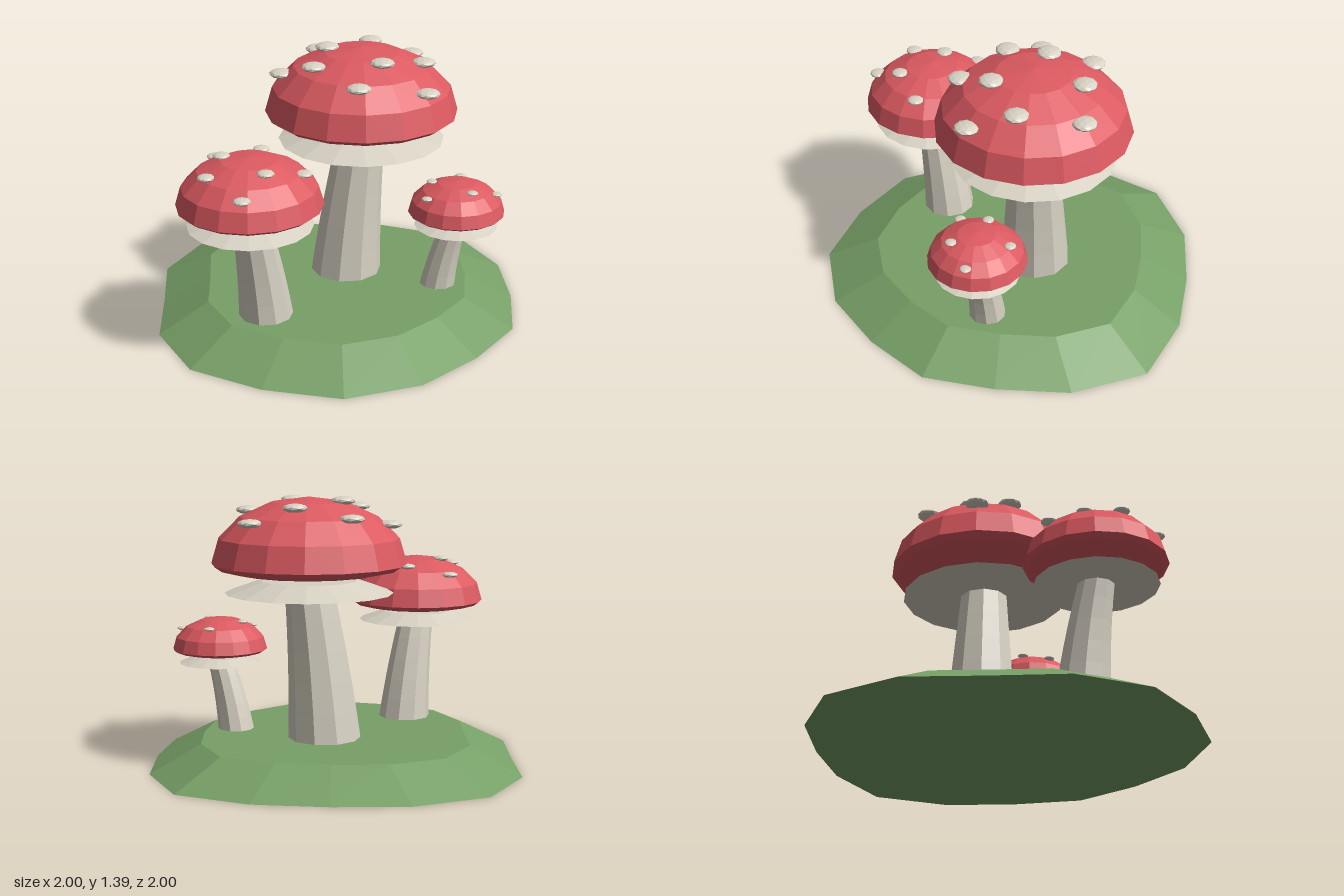
import * as THREE from 'three';

const flat = (name, color) => {
  const m = new THREE.MeshStandardMaterial({ color, flatShading: true });
  m.name = name;
  return m;
};

const addMesh = (parent, name, geometry, material) => {
  const mesh = new THREE.Mesh(geometry, material);
  mesh.name = name;
  parent.add(mesh);
  return mesh;
};

// Move every vertex of a geometry by a rule
function reshape(geometry, rule) {
  const p = geometry.attributes.position;
  const v = new THREE.Vector3();
  for (let i = 0; i < p.count; i++) {
    rule(v.fromBufferAttribute(p, i));
    p.setXYZ(i, v.x, v.y, v.z);
  }
  geometry.computeVertexNormals();
  return geometry;
}

const GROUND_TOP = 0.135;

// Irregular low mound: one radius factor per corner, counted from +x towards +z
function moundGeometry() {
  const radii = [1, 0.94, 0.97, 0.95, 1, 1.04, 1.02, 1.05, 1, 0.93, 1.025, 1.07, 1, 0.94, 0.98, 1.06];
  const g = new THREE.CylinderGeometry(0.73, 1, GROUND_TOP, 16, 1);
  g.translate(0, GROUND_TOP / 2, 0);
  return reshape(g, (v) => {
    const k = Math.round(Math.atan2(v.z, v.x) / (Math.PI / 8));
    const f = radii[(k + 16) % 16];
    v.x *= f;
    v.z *= f;
  });
}

// Tapered stem whose centre line bends from base to top
function stemGeometry({ base, baseRadius, topRadius, x, z, height }) {
  const g = new THREE.CylinderGeometry(topRadius, baseRadius, 1, 10, 5);
  return reshape(g, (v) => {
    const t = v.y + 0.5;
    const bend = 0.6 * t + 0.4 * t * t;
    v.x += base[0] + (x - base[0]) * bend;
    v.z += base[1] + (z - base[1]) * bend;
    v.y = GROUND_TOP - 0.01 + t * (height - GROUND_TOP + 0.01);
  });
}

function mushroom(name, spec, mats) {
  const { x, z, rim, radius: R, spots, spotRadius } = spec;
  const group = new THREE.Group();
  group.name = name;

  // Gills: shallow skirt below the cap
  const gillBottom = rim - 0.3 * R;
  const gillHeight = 0.13 * R;
  const gills = addMesh(group, 'gills',
    new THREE.CylinderGeometry(0.5 * R, 0.865 * R, gillHeight, 16), mats.cream);
  gills.position.set(x, gillBottom + gillHeight / 2, z);

  addMesh(group, 'stem', stemGeometry({ ...spec, height: gillBottom + 0.02 }), mats.cream);

  // Cap: tall dome above the rim, nearly flat underside
  const capGeometry = reshape(new THREE.SphereGeometry(R, 16, 8), (v) => {
    v.y *= v.y > 0 ? 0.68 : 0.14;
  });
  addMesh(group, 'cap', capGeometry, mats.red).position.set(x, rim, z);

  // Spots: flattened pebbles resting on the dome
  const spotGeometry = new THREE.IcosahedronGeometry(spotRadius, 1).scale(1, 0.36, 1);
  for (const [sx, sz] of spots) {
    const d = Math.hypot(sx - x, sz - z) / R;
    const y = rim + 0.68 * R * Math.sqrt(Math.max(0, 1 - d * d)) + 0.016 * R;
    addMesh(group, 'spot', spotGeometry, mats.cream).position.set(sx, y, sz);
  }
  return group;
}

export function createModel() {
  const mats = {
    red: flat('cap red', 0xdc5a61),
    cream: flat('cream', 0xd8d2c4),
    green: flat('grass green', 0x77a067),
  };
  const model = new THREE.Group();
  model.name = 'mushroomCluster';
  addMesh(model, 'ground', moundGeometry(), mats.green);

  model.add(
    mushroom('largeMushroom', {
      x: 0.16, z: -0.05, rim: 1.04, radius: 0.5,
      base: [0.09, -0.085], baseRadius: 0.188, topRadius: 0.125, spotRadius: 0.063,
      spots: [[0.06, -0.39], [0.31, -0.26], [0.52, -0.19], [0.02, -0.17], [-0.22, -0.21],
        [-0.13, 0], [0.43, 0.12], [0.17, 0.17], [-0.01, 0.28], [0.34, 0.34]],
    }, mats),
    mushroom('mediumMushroom', {
      x: -0.595, z: 0.29, rim: 0.775, radius: 0.362,
      base: [-0.503, 0.24], baseRadius: 0.138, topRadius: 0.093, spotRadius: 0.043,
      spots: [[-0.67, 0.02], [-0.465, 0.12], [-0.7, 0.195], [-0.83, 0.335], [-0.58, 0.47],
        [-0.37, 0.435], [-0.735, 0.56]],
    }, mats),
    mushroom('smallMushroom', {
      x: 0.52, z: 0.345, rim: 0.56, radius: 0.25,
      base: [0.455, 0.28], baseRadius: 0.095, topRadius: 0.068, spotRadius: 0.029,
      spots: [[0.62, 0.205], [0.695, 0.45], [0.535, 0.48], [0.33, 0.38], [0.42, 0.26]],
    }, mats),
  );
  return model;
}
